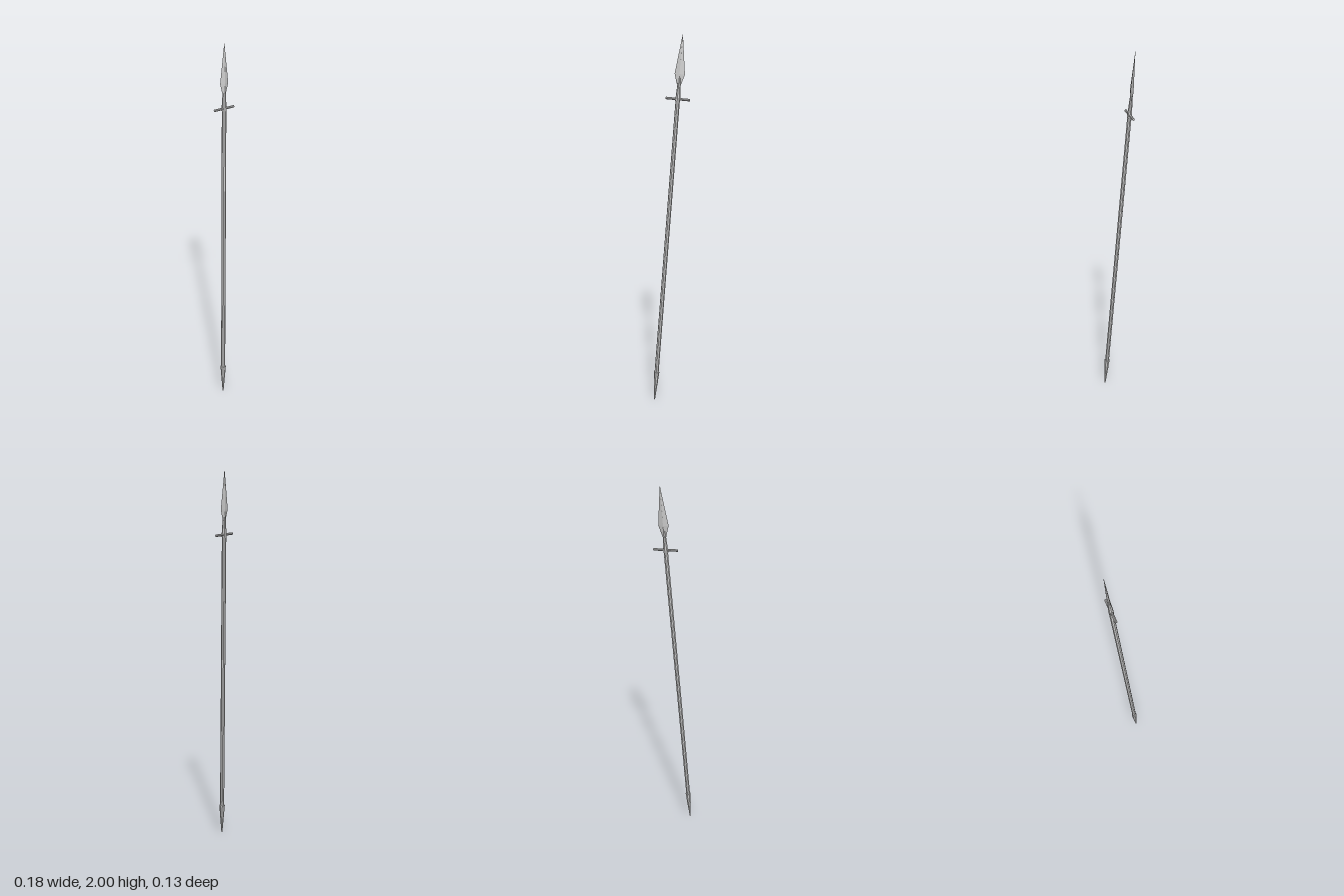
import * as THREE from 'three';

const material = new THREE.MeshStandardMaterial({ color: 0xcccccc, flatShading: true });

function part(name, geometry, y) {
  const mesh = new THREE.Mesh(geometry, material);
  mesh.name = name;
  mesh.position.y = y;
  return mesh;
}

// Tapered round part between two heights along the spear
function taper(name, y0, y1, r0, r1, sides = 8) {
  return part(name, new THREE.CylinderGeometry(r1, r0, y1 - y0, sides), (y0 + y1) / 2);
}

// Diamond-section blade: [height, half width, half thickness] per ring
function bladeGeometry(rings) {
  const pos = [];
  const corners = rings.map(([y, w, t]) => [[w, y, 0], [0, y, t], [-w, y, 0], [0, y, -t]]);
  for (let i = 0; i < rings.length - 1; i++) {
    for (let k = 0; k < 4; k++) {
      const n = (k + 1) % 4;
      const a = corners[i][k], b = corners[i][n], c = corners[i + 1][n], d = corners[i + 1][k];
      pos.push(...a, ...c, ...b, ...a, ...d, ...c);
    }
  }
  const [p, q, r, s] = corners[0];
  pos.push(...p, ...q, ...r, ...p, ...r, ...s);
  const geometry = new THREE.BufferGeometry();
  geometry.setAttribute('position', new THREE.Float32BufferAttribute(pos, 3));
  geometry.computeVertexNormals();
  return geometry;
}

export function createModel() {
  const model = new THREE.Group();
  model.name = 'spear';

  // Everything is built upright, then leaned from base to tip
  const base = new THREE.Vector3(-0.083, 0, 0.062);
  const tip = new THREE.Vector3(0.046, 2, -0.067);
  const axis = tip.clone().sub(base);
  const length = axis.length();
  const spear = new THREE.Group();
  spear.name = 'leaningSpear';
  spear.position.copy(base);
  spear.quaternion.setFromUnitVectors(new THREE.Vector3(0, 1, 0), axis.normalize());
  model.add(spear);

  // Shaft and pointed butt cap
  spear.add(taper('shaft', 0.1, 1.7, 0.0115, 0.0115));
  spear.add(taper('buttCap', 0, 0.165, 0.003, 0.0155));

  // Socket running up into the blade
  spear.add(taper('socket', 1.67, 1.83, 0.0135, 0.004));

  // Leaf-shaped blade
  spear.add(part('blade', bladeGeometry([
    [1.75, 0.009, 0.006],
    [1.81, 0.027, 0.006],
    [length, 0.0008, 0.0008],
  ]), 0));

  // Crossbar
  const bar = part('crossbar', new THREE.CylinderGeometry(0.0065, 0.0065, 0.128, 8), 1.682);
  bar.rotation.z = Math.PI / 2;
  spear.add(bar);

  return model;
}
